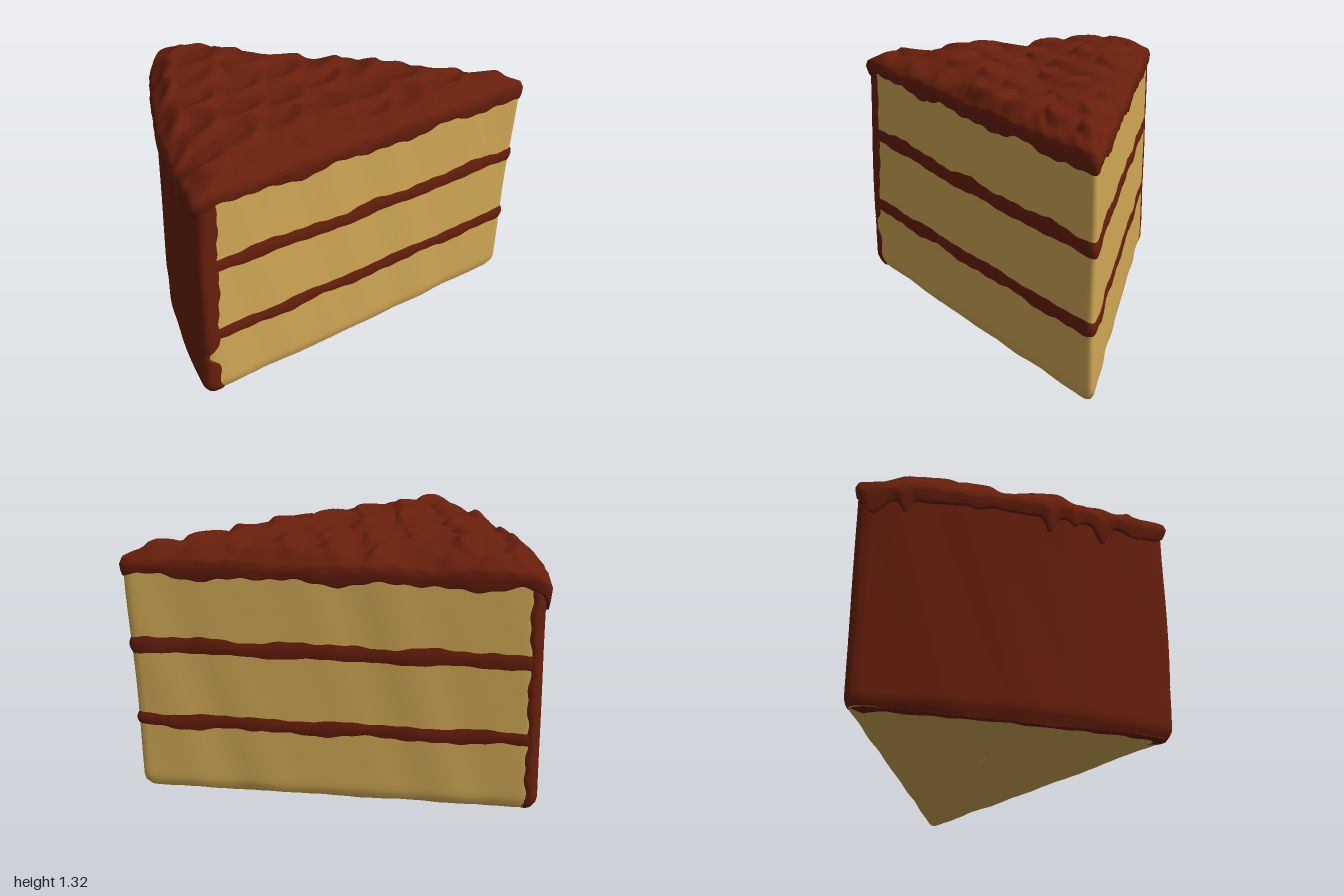
import * as THREE from 'three';
import { mergeVertices } from 'three/addons/utils/BufferGeometryUtils.js';

const { sin, cos, PI, exp, min, max, hypot, atan2 } = Math;
const smooth = THREE.MathUtils.smoothstep;
const gauss = (x, c, w) => exp(-(((x - c) / w) ** 2));

// Plan of the slice as (x, z): two straight cuts, rounded corners, bulging outer side
const plan = new THREE.Path();
plan.moveTo(-0.045, 0.795);
plan.lineTo(0.955, -0.79);
plan.quadraticCurveTo(0.99, -0.848, 0.925, -0.836);
plan.lineTo(-0.9, -0.475);
plan.quadraticCurveTo(-0.98, -0.46, -0.945, -0.375);
plan.quadraticCurveTo(-0.65, 0.285, -0.13, 0.795);
plan.quadraticCurveTo(-0.08, 0.85, -0.045, 0.795);
const lengths = plan.getCurveLengths();
const total = lengths[lengths.length - 1];
const arcStart = lengths[3] / total;
const arcEnd = lengths[4] / total;
const CENTRE = { x: -0.1, z: -0.1 };
const INRADIUS = 0.525;

// Point on the plan, pushed out (or in) by an offset
function outline(u, offset, y) {
  const p = plan.getPoint(((u % 1) + 1) % 1);
  const s = max(0, 1 + offset / INRADIUS);
  const tip = smooth(p.x, 0.3, 1) * 0.025 * max(0, 1 - y / 1.1);
  return [CENTRE.x + (p.x - CENTRE.x) * s - tip, y, CENTRE.z + (p.y - CENTRE.z) * s];
}

const wave = (u, k) =>
  0.007 * sin(2 * PI * 9 * u + k) + 0.005 * sin(2 * PI * 16 * u + 2.3 * k) + 0.003 * sin(2 * PI * 43 * u + k * k);

// 1 along the outer side, 0 along the cuts
const outer = (u) => {
  const w = ((u % 1) + 1) % 1;
  return smooth(w, arcStart - 0.03, arcStart) * (1 - smooth(w, arcEnd, 1));
};
const arcT = (u) => (u - arcStart) / (arcEnd - arcStart);

// Lower edge of the whole slice
const baseY = (u) => 0.026 - 0.024 * max(0, sin(PI * min(1, max(0, arcT(u))))) + 0.3 * wave(u, 5);

// Surface swept over u (around) and v (upward or inward)
function loft(name, material, nu, nv, u0, u1, point) {
  const pos = [], index = [];
  for (let j = 0; j <= nv; j++)
    for (let i = 0; i <= nu; i++) pos.push(...point(u0 + ((u1 - u0) * i) / nu, j / nv));
  for (let j = 0; j < nv; j++)
    for (let i = 0; i < nu; i++) {
      const a = j * (nu + 1) + i, d = a + nu + 1;
      index.push(a, a + 1, d + 1, a, d + 1, d);
    }
  let g = new THREE.BufferGeometry();
  g.setAttribute('position', new THREE.Float32BufferAttribute(pos, 3));
  g.setIndex(index);
  g = mergeVertices(g, 1e-5);
  g.computeVertexNormals();
  const mesh = new THREE.Mesh(g, material);
  mesh.name = name;
  return mesh;
}

// Gentle unevenness of the walls, tucked in along the bottom edge
const wallOffset = (u, y) =>
  0.002 * sin(2 * PI * 13 * u + 4 * y) * (1 + sin(2 * PI * 5 * u + 3 * y)) -
  0.022 * (1 - smooth(y, 0, 0.09)) ** 2;

// Height of the underside, from the centre (v = 0) to the edge (v = 1)
const underY = (u, v) => 0.024 + (baseY(u) - 0.024) * v ** 4;

// Crescent spatula strokes on a jittered grid
const strokes = [];
for (let i = 0; i < 9; i++)
  for (let j = 0; j < 8; j++) {
    const a = sin(i * 12.99 + j * 78.23) * 43.7, b = sin(i * 39.35 + j * 11.13) * 24.6;
    const ja = a - Math.floor(a), jb = b - Math.floor(b);
    strokes.push({
      x: -1 + 0.24 * (i + 0.5 * (j % 2)) + 0.1 * ja, z: -0.85 + 0.23 * j + 0.1 * jb,
      r: 0.11 + 0.07 * jb, turn: 0.3 + 1.6 * (ja - 0.5),
    });
  }
function swirl(x, z) {
  let h = 0;
  for (const s of strokes) {
    const dx = x - s.x, dz = z - s.z, d = hypot(dx, dz);
    if (d > 0.4) continue;
    const facing = (0.5 + 0.5 * cos(atan2(dz, dx) - s.turn)) ** 1.5;
    h = max(h, gauss(d / s.r, 1, d < s.r ? 0.4 : 0.22) * facing);
  }
  return 0.038 * h - 0.012 + 0.009 * sin(6 * x + 2 * sin(5 * z)) + 0.006 * sin(9 * z + 3 * x);
}

export function createModel() {
  const group = new THREE.Group();
  const material = (name, color) => {
    const m = new THREE.MeshStandardMaterial({ color });
    m.name = name;
    m.side = THREE.DoubleSide;
    return m;
  };
  const frosting = material('chocolate frosting', 0x681f0c);
  const sponge = material('golden sponge', 0xd3aa56);

  // Alternating sponge layers and filling bands, each with wavy borders
  const rise = (u) => 0.025 * (gauss(u, 0, 0.1) + gauss(u, 1, 0.1));
  const borders = [
    baseY,
    (u) => 0.35 + wave(u, 1),
    (u) => 0.42 + 0.6 * wave(u, 2),
    (u) => 0.735 + rise(u) + 0.6 * wave(u, 3),
    (u) => 0.813 + rise(u) + wave(u, 4),
    () => 1.17,
  ];
  for (let k = 0; k < 5; k++) {
    const filling = k % 2 === 1;
    group.add(loft(
      filling ? 'fillingBand' : 'spongeLayer', filling ? frosting : sponge,
      280, filling ? 4 : 12, 0, 1, (u, v) => {
        const y = borders[k](u) * (1 - v) + borders[k + 1](u) * v;
        return outline(u, wallOffset(u, y) + (filling ? 0.005 * sin(PI * v) : 0), y);
      }));
  }

  // Underside of the slice
  group.add(loft('underside', sponge, 280, 10, 0, 1, (u, v) =>
    outline(u, -INRADIUS * (1 - v) + wallOffset(u, baseY(u)) * v, underY(u, v))));

  // Frosting down the outer side, with ragged ends wrapping onto the cuts
  const ragged = (y, k) => 0.001 * sin(17 * y + k) + 0.0008 * sin(53 * y + 2 * k);
  group.add(loft('outerFrosting', frosting, 160, 50, 0, 1, (t, v) => {
    const nominal = 0.02 + 1.13 * v;
    const from = arcStart - 0.022 + ragged(nominal, 1);
    const to = 1.0065 + ragged(nominal, 3) - 0.014 * gauss(nominal, 0.26, 0.04);
    const u = from + (to - from) * t;
    const y = (baseY(u % 1) - 0.003) * (1 - v) + 1.15 * v;
    const edge = t === 0 || t === 1 ? -0.004 : 0.006;
    return outline(u, wallOffset(u, y) + edge, y);
  }));

  // Thin frosting rim turned under the outer side
  group.add(loft('bottomFrostingRim', frosting, 120, 4, arcStart - 0.015, 1, (u, v) => {
    const inset = (0.055 + 0.006 * sin(170 * u)) * (1 - v) + 0.012 * v;
    return outline(u, -inset, underY(u, 1 - inset / INRADIUS) - 0.004);
  }));

  // Top frosting: overhanging lip with drips, rounded rim, swirled top
  // Each drip: place along the outer side, width, length
  const drips = [[0, 0.05, 0.08], [0.11, 0.018, 0.07], [0.35, 0.03, 0.02], [0.6, 0.02, 0.09], [0.69, 0.015, 0.03], [0.79, 0.025, 0.1], [0.92, 0.04, 0.02]];
  const lip = (u) => {
    const drop = drips.reduce((s, [c, w, d]) => s + d * gauss(arcT(u), c, w), 0);
    const m = outer(u);
    return (1.115 + 0.6 * rise(u) + 1.6 * wave(u, 6)) * (1 - m) + (1.085 + 0.6 * wave(u, 6) - drop) * m;
  };
  // Rows: offset on the cuts, offset on the outer side, height (0 = lip, 1 = rim)
  const rim = [[-0.008, -0.004, 0], [0.007, 0.015, 0.04], [0.011, 0.022, 0.3], [0.014, 0.028, 0.65], [0.009, 0.016, 1]];
  const rimRows = 12, topRows = 44;
  group.add(loft('topFrosting', frosting, 400, rimRows + topRows, 0, 1, (u, v) => {
    const row = v * (rimRows + topRows);
    const m = outer(u);
    const low = lip(u);
    const rimY = 1.2 - 0.02 * m + 0.7 * wave(u, 8);
    const wobble = 0.5 * wave(u, 9);
    if (row <= rimRows + 1e-6) {
      const f = min(3.9999, (row / rimRows) * 4);
      const i = Math.floor(f), t = f - i;
      const [c, o, h] = rim[i].map((a, n) => a + (rim[i + 1][n] - a) * t);
      return outline(u, c * (1 - m) + o * m + wobble * h, low + (rimY - low) * h);
    }
    const t = (row - rimRows) / topRows;
    const start = 0.009 * (1 - m) + 0.016 * m + wobble;
    const inset = (INRADIUS + start) * t ** 1.3;
    const p = outline(u, start - inset, 1.2);
    const inner = smooth(inset, 0, 0.1);
    p[1] = rimY * (1 - inner) + 1.2 * inner + 0.075 * (1 - exp(-inset / 0.06)) +
      swirl(p[0], p[2]) * smooth(inset, 0, 0.06);
    return p;
  }));

  return group;
}
